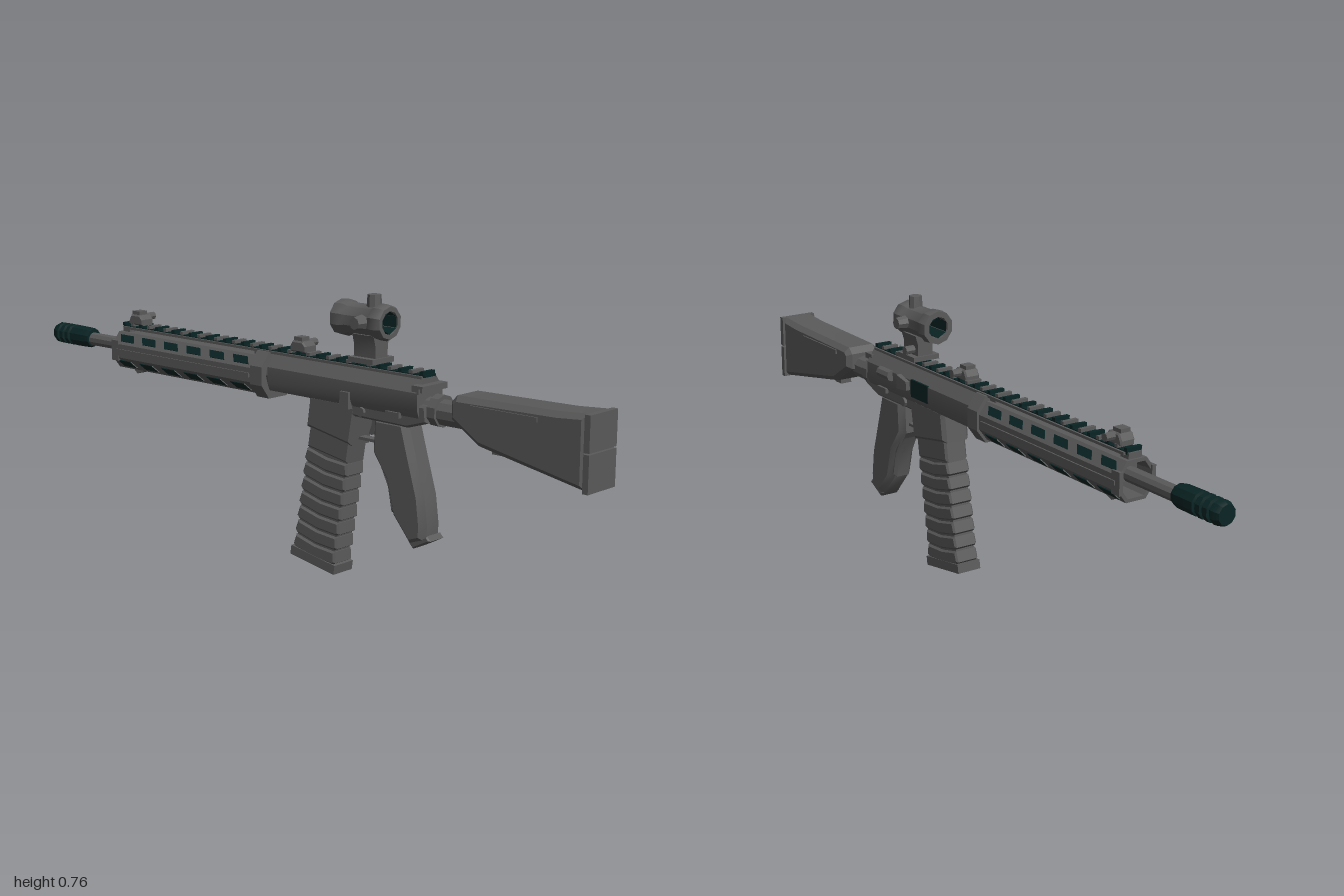
import * as THREE from 'three';
import { toCreasedNormals } from 'three/addons/utils/BufferGeometryUtils.js';

const metal = new THREE.MeshStandardMaterial({ color: 0x5a5a5a });
metal.name = 'gunmetal grey';
const dark = new THREE.MeshStandardMaterial({ color: 0x0a2424, side: THREE.DoubleSide });
dark.name = 'dark teal';

function add(parent, name, geo, mat = metal, x = 0, y = 0, z = 0) {
  const mesh = new THREE.Mesh(toCreasedNormals(geo, 0.5), mat);
  mesh.name = name;
  mesh.position.set(x, y, z);
  parent.add(mesh);
  return mesh;
}

const toShape = (pts) => new THREE.Shape(pts.map((p) => new THREE.Vector2(p[0], p[1])));

// Side outline given as [z, y], with its thickness along x and chamfered edges
function side(pts, width, bevel = 0) {
  const geo = new THREE.ExtrudeGeometry(toShape(pts), {
    depth: width - 2 * bevel, bevelEnabled: bevel > 0, bevelSize: bevel,
    bevelThickness: bevel, bevelOffset: -bevel, bevelSegments: 1,
  });
  return geo.translate(0, 0, bevel - width / 2).rotateY(-Math.PI / 2);
}

// Cross-section given as [x, y], running along z from z0 to z1
function run(pts, z0, z1, hole) {
  const shape = toShape(pts);
  if (hole) shape.holes.push(new THREE.Path(hole.map((p) => new THREE.Vector2(p[0], p[1]))));
  return new THREE.ExtrudeGeometry(shape, { depth: z1 - z0, bevelEnabled: false }).translate(0, 0, z0);
}

const box = (w, h, d) => new THREE.BoxGeometry(w, h, d);
const rodZ = (r, len, n = 10, r2 = r) => new THREE.CylinderGeometry(r, r2, len, n).rotateX(Math.PI / 2);
const rodX = (r, len, n = 8, r2 = r) => new THREE.CylinderGeometry(r, r2, len, n).rotateZ(-Math.PI / 2);
const latheZ = (pts, n) =>
  new THREE.LatheGeometry(pts.map((p) => new THREE.Vector2(p[0], p[1])), n).rotateX(Math.PI / 2);

// Chamfered octagon, half width w, half height h, flat sides f, flat top t
const octagon = (w, h, f, t) => [[w, -f], [w, f], [t, h], [-t, h], [-w, f], [-w, -f], [-t, -h], [t, -h]];

function buildStock(g) {
  add(g, 'stock', side([[0.985, 0.382], [0.985, 0.568], [0.9, 0.562], [0.6, 0.557], [0.583, 0.54],
    [0.583, 0.495], [0.67, 0.44]], 0.108, 0.014));
  for (const [y, h] of [[0.427, 0.094], [0.523, 0.09]]) {
    add(g, 'buttPad', box(0.112, h, 0.016), metal, 0, y, 0.99);
  }
  for (const s of [-1, 1]) add(g, 'stockRib', box(0.008, 0.012, 0.2), metal, s * 0.054, 0.535, 0.75);
  add(g, 'stockLatch', box(0.035, 0.03, 0.035), metal, 0, 0.435, 0.71);
  add(g, 'bufferTube', rodZ(0.034, 0.12), metal, 0, 0.497, 0.54);
  add(g, 'tubeCollar', rodZ(0.042, 0.025, 10), metal, 0, 0.5, 0.515);
}

function buildReceiver(g) {
  add(g, 'upperReceiver', run([[0.042, 0.48], [0.05, 0.5], [0.05, 0.545], [0.025, 0.581],
    [-0.025, 0.581], [-0.05, 0.545], [-0.05, 0.5], [-0.042, 0.48]], -0.045, 0.48));
  add(g, 'lowerReceiver', side([[0.505, 0.47], [0.5, 0.515], [0.1, 0.5], [0.1, 0.455], [0.44, 0.45]], 0.084, 0.006));
  add(g, 'magazineWell', side([[0.27, 0.49], [0.1, 0.49], [0.087, 0.4], [0.25, 0.37]], 0.085, 0.01));
  add(g, 'ejectionPort', box(0.006, 0.05, 0.085), dark, 0.05, 0.524, 0.198);
  add(g, 'portDeflector', side([[0.3, 0.51], [0.3, 0.55], [0.25, 0.54], [0.25, 0.515]], 0.022), metal, 0.052);
  add(g, 'forwardAssist', rodZ(0.016, 0.06, 8), metal, 0.053, 0.535, 0.37);
  add(g, 'boltCatch', box(0.016, 0.045, 0.03), metal, -0.05, 0.495, 0.24);
  for (const s of [-1, 1]) add(g, 'selector', box(0.012, 0.014, 0.045), metal, s * 0.046, 0.48, 0.4);
  add(g, 'magazineRelease', rodX(0.013, 0.1), metal, 0, 0.47, 0.29);
  add(g, 'chargingHandle', box(0.1, 0.016, 0.035), metal, -0.008, 0.558, 0.485);
  add(g, 'chargingLatch', side([[0.515, 0.552], [0.515, 0.566], [0.505, 0.552]], 0.006), metal, -0.084);
  // Trigger and its guard
  add(g, 'triggerGuard', box(0.025, 0.008, 0.085), metal, 0, 0.39, 0.29);
  add(g, 'trigger', side([[0.315, 0.46], [0.295, 0.46], [0.292, 0.43], [0.282, 0.405], [0.292, 0.403], [0.305, 0.43]], 0.012));
}

function buildGrip(g) {
  add(g, 'grip', side([[0.43, 0.465], [0.32, 0.465], [0.315, 0.365], [0.362, 0.3], [0.385, 0.21],
    [0.445, 0.14], [0.495, 0.158], [0.497, 0.2], [0.487, 0.275], [0.455, 0.38]], 0.078, 0.016));
  add(g, 'gripCap', side([[0.512, 0.163], [0.5, 0.175], [0.44, 0.148], [0.455, 0.133]], 0.06, 0.004));
  add(g, 'gripFrontStrap', side([[0.322, 0.36], [0.352, 0.365], [0.42, 0.215], [0.375, 0.215], [0.362, 0.28]], 0.055, 0.008));
}

function buildMagazine(g) {
  const mag = new THREE.Group();
  mag.name = 'magazine';
  mag.position.set(0, 0.47, 0.183);
  mag.rotation.x = 0.165;
  g.add(mag);
  add(mag, 'magazineCore', box(0.06, 0.44, 0.138), metal, 0, -0.225, 0);
  add(mag, 'magazineNeck', side([[-0.074, -0.14], [0.074, -0.14], [0.074, 0.0], [-0.074, 0.0]], 0.07, 0.006));
  // Stacked ribs, each flaring toward its lower edge
  const step = 0.042;
  for (let i = 0; i < 7; i++) {
    const y = -0.142 - i * step;
    add(mag, 'magazineRib', side([[-0.072, y], [-0.078, y - 0.031], [-0.07, y - 0.037], [0.0, y - 0.043],
      [0.07, y - 0.037], [0.078, y - 0.031], [0.072, y], [0.0, y - 0.006]], 0.072, 0.005));
  }
  add(mag, 'magazineBase', box(0.074, 0.026, 0.162), metal, 0, -0.443, 0);
}

function buildHandguard(g) {
  const y = 0.515;
  add(g, 'handguard', run(octagon(0.055, 0.053, 0.02, 0.03), -0.682, -0.09,
    octagon(0.046, 0.044, 0.016, 0.025)), metal, 0, y);
  add(g, 'handguardRing', run(octagon(0.062, 0.064, 0.026, 0.034), -0.1, -0.055), metal, 0, y + 0.003);
  add(g, 'barrelNut', rodZ(0.046, 0.03, 12), metal, 0, y + 0.005, -0.045);
  // Slanted slots on the four chamfered faces and straight ones on the sides
  const slot = side([[-0.036, -0.011], [0.02, -0.011], [0.036, 0.011], [-0.02, 0.011]], 0.005);
  const tilt = Math.atan2(0.025, 0.033);
  for (const a of [tilt, -tilt, Math.PI - tilt, Math.PI + tilt]) {
    for (let i = 0; i < 6; i++) {
      const m = add(g, 'handguardSlot', slot, dark, Math.sign(Math.cos(a)) * 0.0425,
        y + Math.sign(Math.sin(a)) * 0.0365, -0.155 - i * 0.095);
      m.rotation.z = a;
    }
  }
  for (const s of [-1, 1]) {
    add(g, 'sideRidge', box(0.008, 0.012, 0.56), metal, s * 0.055, y, -0.39);
    add(g, 'endBracket', box(0.012, 0.06, 0.03), metal, s * 0.05, y, -0.672);
  }
  add(g, 'handStop', side([[-0.57, 0.464], [-0.635, 0.464], [-0.615, 0.448]], 0.04), metal);
}

function buildRail(g) {
  add(g, 'railBase', box(0.044, 0.008, 1.15), dark, 0, 0.583, -0.095);
  for (let i = 0; i < 33; i++) add(g, 'railTooth', box(0.046, 0.009, 0.012), i % 2 ? metal : dark, 0, 0.591, 0.47 - i * 0.0355);
  for (const s of [-1, 1]) add(g, 'railEdge', box(0.008, 0.007, 1.14), metal, s * 0.024, 0.581, -0.095);
  for (const z of [-0.11, -0.66]) add(g, 'railPost', box(0.04, 0.025, 0.03), metal, 0, 0.571, z);
}

function buildBarrel(g) {
  add(g, 'barrel', rodZ(0.02, 0.78, 10), metal, 0, 0.523, -0.46);
  add(g, 'gasBlock', box(0.045, 0.05, 0.05), metal, 0, 0.53, -0.63);
  // Muzzle device with three grooves near its tip
  const pts = [[0.001, -1], [0.026, -1], [0.031, -0.99]];
  for (const z of [-0.975, -0.95, -0.925]) {
    pts.push([0.032, z], [0.025, z + 0.002], [0.025, z + 0.009], [0.032, z + 0.011]);
  }
  pts.push([0.031, -0.85], [0.027, -0.836], [0.001, -0.836]);
  add(g, 'muzzleDevice', latheZ(pts, 10), dark, 0, 0.526, 0);
}

function buildSights(g) {
  // Folded sights, front and rear
  for (const z of [0.04, -0.617]) {
    add(g, 'sightBase', side([[0.03, 0.592], [0.03, 0.61], [0.018, 0.622], [-0.02, 0.622], [-0.03, 0.605], [-0.03, 0.592]], 0.044, 0.004), metal, 0, 0, z);
    add(g, 'sightLeaf', box(0.03, 0.012, 0.03), metal, 0, 0.626, z - 0.005);
    add(g, 'sightKnob', rodX(0.011, 0.03), metal, 0.034, 0.613, z);
  }
  // Optic tube, hollow, with flared ends
  const y = 0.702;
  add(g, 'opticTube', latheZ([[0.031, 0.178], [0.047, 0.178], [0.049, 0.205], [0.042, 0.222], [0.042, 0.3],
    [0.048, 0.312], [0.048, 0.335], [0.043, 0.346], [0.031, 0.346], [0.031, 0.178]], 10), metal, 0, y);
  add(g, 'opticBore', new THREE.CylinderGeometry(0.03, 0.03, 0.164, 6, 1, true).rotateX(Math.PI / 2), dark, 0, y, 0.262);
  add(g, 'topTurret', new THREE.CylinderGeometry(0.018, 0.02, 0.034, 8), metal, 0.002, 0.754, 0.29);
  for (const s of [-1, 1]) {
    add(g, 'sideTurret', rodX(s > 0 ? 0.016 : 0.021, 0.03, 8, s > 0 ? 0.019 : 0.016), metal, s * 0.055, y, 0.285);
  }
  // Mount and clamp
  add(g, 'opticMount', run([[0.024, 0.6], [0.024, 0.64], [0.032, 0.668], [-0.032, 0.668], [-0.024, 0.64], [-0.024, 0.6]], 0.245, 0.318));
  add(g, 'mountClamp', box(0.084, 0.014, 0.085), metal, 0, 0.602, 0.282);
  add(g, 'clampKnob', rodX(0.012, 0.03), metal, 0.038, 0.625, 0.27);
}

export function createModel() {
  const model = new THREE.Group();
  model.name = 'rifle';
  const body = new THREE.Group();
  body.name = 'body';
  body.position.x = 0.007;
  model.add(body);
  for (const build of [buildStock, buildReceiver, buildGrip, buildMagazine, buildHandguard,
    buildRail, buildBarrel, buildSights]) build(body);
  return model;
}
